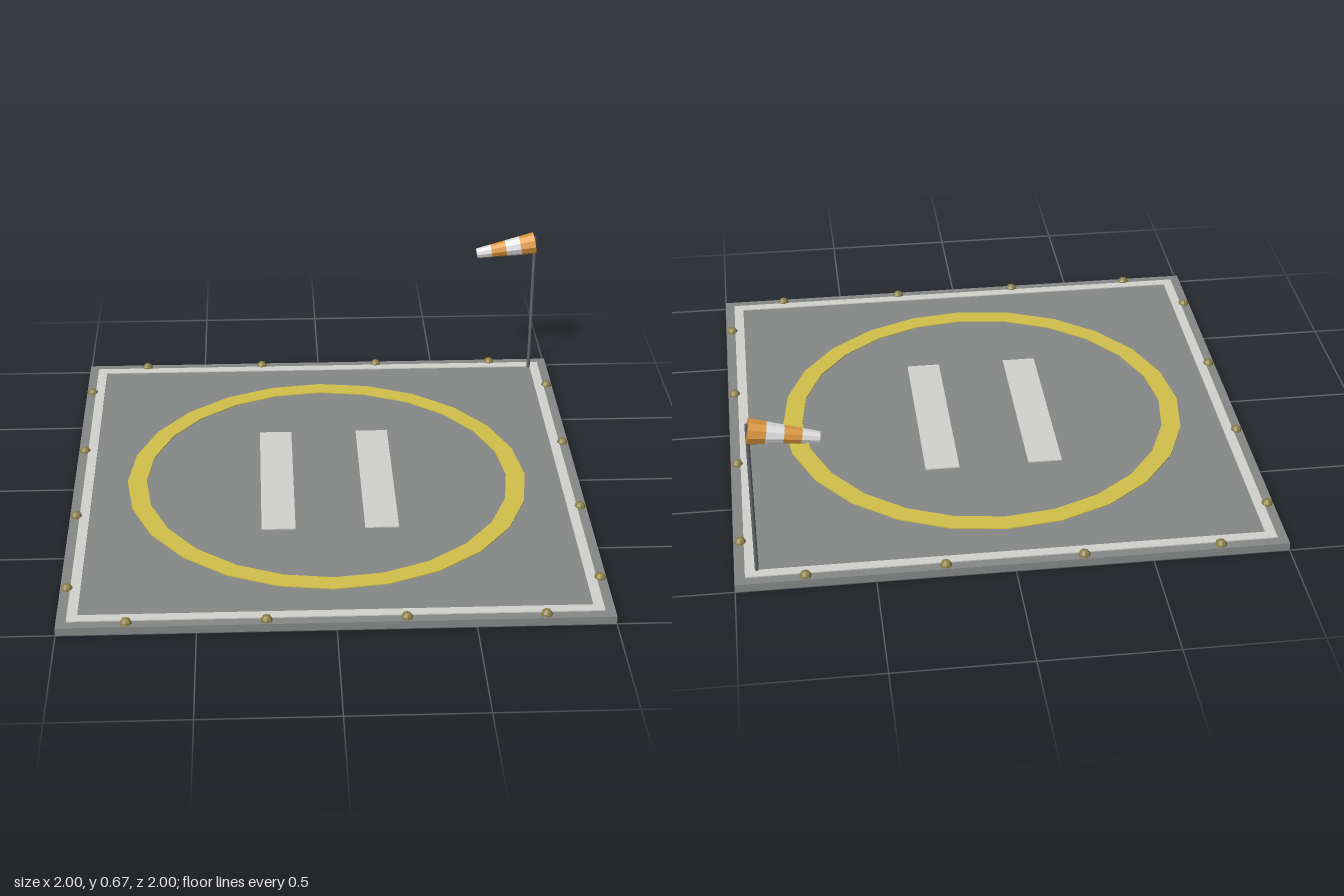
import * as THREE from 'three';

const mat = (name, color, flatShading = false) => {
  const m = new THREE.MeshStandardMaterial({ color });
  m.name = name;
  m.flatShading = flatShading;
  return m;
};

export function createModel() {
  const concrete = mat('concrete grey', 0x868888);
  const white = mat('marking white', 0xd2d2ce);
  const yellow = mat('marking yellow', 0xd2c04a);
  const lamp = mat('lamp olive', 0x8c8048, true);
  const steel = mat('pole grey', 0x63676b);
  const orange = mat('windsock orange', 0xdc983f, true);
  const cloth = mat('windsock white', 0xdedede, true);

  const model = new THREE.Group();
  model.name = 'landingPad';
  const add = (name, geometry, material, x = 0, y = 0, z = 0, parent = model) => {
    const mesh = new THREE.Mesh(geometry, material);
    mesh.name = name;
    mesh.position.set(x, y, z);
    parent.add(mesh);
    return mesh;
  };

  const top = 0.031, paint = 0.004;

  // Slab
  add('slab', new THREE.BoxGeometry(2, top, 2), concrete, 0, top / 2, 0);

  // Painted outlines: an outer loop with an inner loop cut out
  const outline = (name, sides, outer, inner, turn, material) => {
    const loop = r => Array.from({ length: sides }, (_, i) => {
      const a = turn + (i / sides) * Math.PI * 2;
      return new THREE.Vector2(Math.cos(a) * r, Math.sin(a) * r);
    });
    const shape = new THREE.Shape(loop(outer));
    shape.holes.push(new THREE.Path(loop(inner)));
    const g = new THREE.ExtrudeGeometry(shape, { depth: paint, bevelEnabled: false });
    g.rotateX(-Math.PI / 2);
    add(name, g, material, 0, top, 0);
  };
  outline('borderLine', 4, 0.963 * Math.SQRT2, 0.925 * Math.SQRT2, Math.PI / 4, white);
  outline('touchdownRing', 24, 0.79, 0.715, 0, yellow);

  // Touchdown bars
  for (const side of [-1, 1]) {
    add(side > 0 ? 'leftBar' : 'rightBar', new THREE.BoxGeometry(0.13, paint, 0.75), white,
      side * 0.198, top + paint / 2, 0);
  }

  // Edge lamps, four along each side
  const dome = new THREE.SphereGeometry(0.022, 8, 4, 0, Math.PI * 2, 0, Math.PI / 2);
  for (const side of [-0.975, 0.975]) {
    for (const t of [-0.75, -0.25, 0.25, 0.75]) {
      add('edgeLamp', dome, lamp, t, top, side);
      add('edgeLamp', dome, lamp, side, top, t);
    }
  }

  // Windsock pole
  const poleTop = 0.652;
  add('windsockPole', new THREE.CylinderGeometry(0.007, 0.007, poleTop - top, 8), steel,
    0.92, (poleTop + top) / 2, -0.925);

  // Windsock: four tapering bands, closed at both ends, local +y is the wide mouth
  const sock = new THREE.Group();
  sock.name = 'windsock';
  sock.position.set(0.92, 0.625, -0.925);
  sock.rotation.z = -1.393;
  model.add(sock);
  const length = 0.25, bands = 4, step = length / bands;
  const radius = d => THREE.MathUtils.lerp(0.047, 0.021, d / length);
  for (let i = 0; i < bands; i++) {
    const d = i * step;
    const open = i > 0 && i < bands - 1;
    add('windsockBand', new THREE.CylinderGeometry(radius(d), radius(d + step), step, 10, 1, open),
      i % 2 ? cloth : orange, 0, -d - step / 2, 0, sock);
  }

  return model;
}
